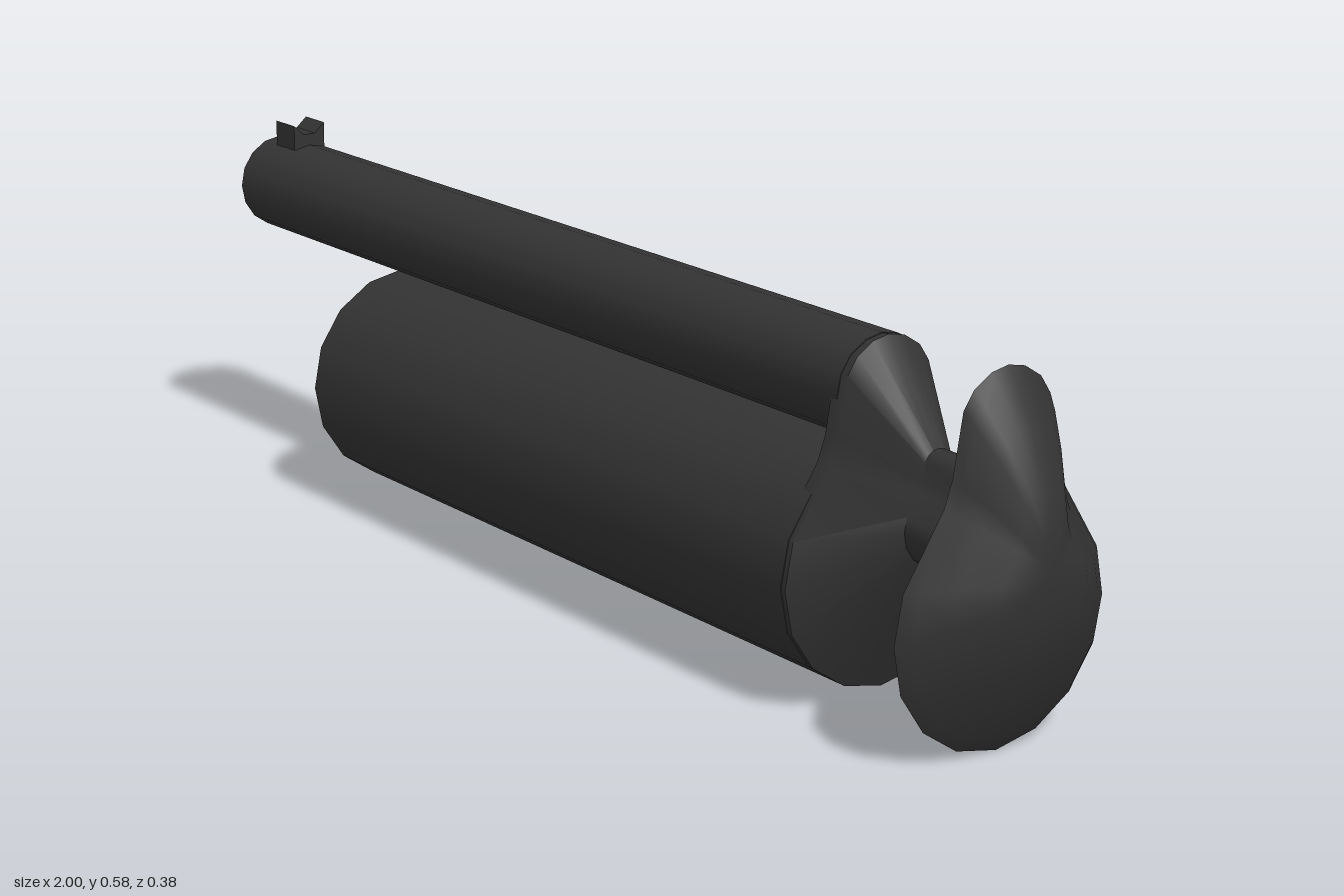
import * as THREE from 'three';
import { toCreasedNormals } from 'three/addons/utils/BufferGeometryUtils.js';

const dark = new THREE.MeshStandardMaterial({ color: 0x333333 });

// Half of the pear-shaped outline as [z, y], bottom to top
const half = [
  [0, 0], [0.073, 0.015], [0.134, 0.056], [0.176, 0.118], [0.19, 0.19],
  [0.176, 0.263], [0.108, 0.368], [0.094, 0.408], [0.078, 0.5],
  [0.06, 0.527], [0.03, 0.546], [0, 0.552],
];
const pear = [...half, ...half.slice(1, -1).reverse().map(([z, y]) => [-z, y])];

// Lofts the pear outline along x; stations are [x, scale, centre y]
function pearLoft(name, stations) {
  const n = pear.length, pos = [], index = [];
  for (const [x, s, cy] of stations) {
    for (const [z, y] of pear) pos.push(x, cy + (y - 0.276) * s, z * s);
  }
  for (let i = 0; i < stations.length - 1; i++) {
    for (let j = 0; j < n; j++) {
      const a = i * n + j, b = i * n + (j + 1) % n;
      index.push(a, b, a + n, b, b + n, a + n);
    }
  }
  // Close both ends with a fan
  const last = (stations.length - 1) * n, c = pos.length / 3;
  const [first, end] = [stations[0], stations.at(-1)];
  pos.push(first[0], first[2], 0, end[0], end[2], 0);
  for (let j = 0; j < n; j++) {
    const k = (j + 1) % n;
    index.push(c, k, j, c + 1, last + j, last + k);
  }
  const geo = new THREE.BufferGeometry();
  geo.setAttribute('position', new THREE.Float32BufferAttribute(pos, 3));
  geo.setIndex(index);
  // Wind outwards: the z, y outline runs clockwise when seen from +x or not
  const mesh = new THREE.Mesh(toCreasedNormals(geo, 0.72), dark);
  mesh.name = name;
  mesh.geometry = orientOutward(geo);
  return mesh;
}

// Flips the triangles if the enclosed volume comes out negative
function orientOutward(geo) {
  const p = geo.attributes.position, idx = geo.index.array;
  const [a, b, c] = [0, 1, 2].map(() => new THREE.Vector3());
  let volume = 0;
  for (let i = 0; i < idx.length; i += 3) {
    a.fromBufferAttribute(p, idx[i]);
    b.fromBufferAttribute(p, idx[i + 1]);
    c.fromBufferAttribute(p, idx[i + 2]);
    volume += a.dot(b.cross(c));
  }
  if (volume < 0) geo.setIndex(Array.from(idx).reverse());
  return toCreasedNormals(geo, 0.72);
}

// Hollow tube along x, open at its -x end
function tube(name, x0, x1, y, radius, bore, depth) {
  const len = x1 - x0;
  const profile = [[0, 0], [radius, 0], [radius, len], [bore, len], [bore, len - depth], [0, len - depth]]
    .map(([r, h]) => new THREE.Vector2(r, h));
  const geo = toCreasedNormals(new THREE.LatheGeometry(profile, 16), 0.72);
  geo.rotateZ(Math.PI / 2);
  const mesh = new THREE.Mesh(geo, dark);
  mesh.position.set(x1, y, 0);
  mesh.name = name;
  return mesh;
}

export function createModel() {
  const group = new THREE.Group();
  group.name = 'doubleTubeLauncher';

  group.add(tube('upperBarrel', -1, 0.64, 0.46, 0.08, 0.055, 1.55));
  group.add(tube('lowerTube', -0.6, 0.645, 0.2, 0.18, 0.145, 1.15));

  // Rear housing tapering into the neck
  group.add(pearLoft('rearHousing', [
    [0.625, 0.93, 0.28], [0.655, 0.945, 0.28], [0.765, 0.31, 0.316], [0.89, 0.31, 0.316],
  ]));

  // Flared butt with a domed back
  group.add(pearLoft('buttPad', [
    [0.88, 0.31, 0.316], [0.9, 1, 0.276], [0.918, 0.91, 0.276],
    [0.95, 0.7, 0.28], [0.985, 0.43, 0.28], [1, 0.2, 0.285],
  ]));

  // Notched sight on the muzzle
  const notch = new THREE.Shape([
    [-0.03, 0.52], [0.03, 0.52], [0.03, 0.577], [0.011, 0.56], [-0.011, 0.56], [-0.03, 0.577],
  ].map(([z, y]) => new THREE.Vector2(z, y)));
  const sight = new THREE.Mesh(
    new THREE.ExtrudeGeometry(notch, { depth: 0.06, bevelEnabled: false }), dark);
  sight.rotation.y = Math.PI / 2;
  sight.position.x = -0.96;
  sight.name = 'sight';
  group.add(sight);

  return group;
}
